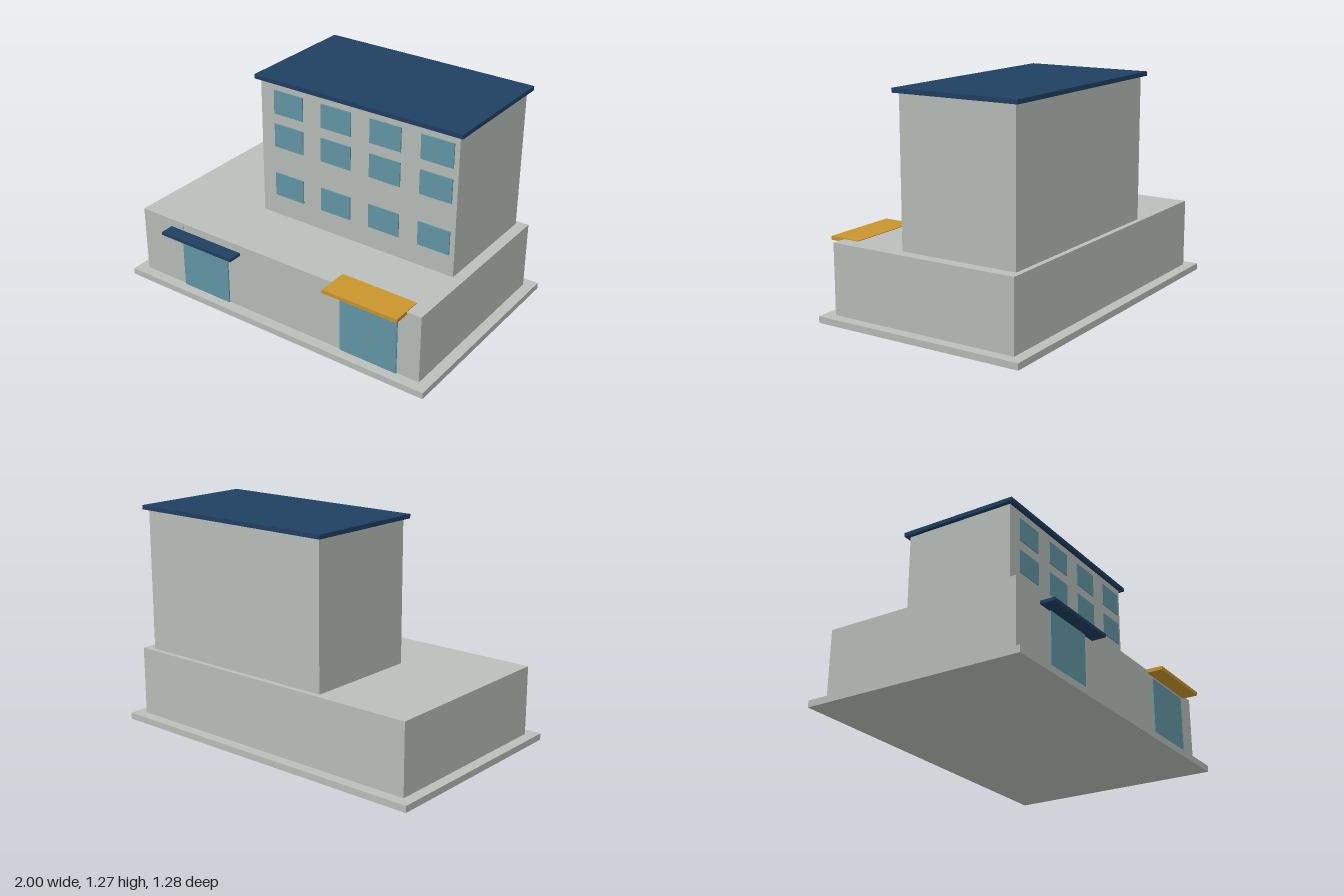
import * as THREE from 'three';

const material = (name, color) => {
  const m = new THREE.MeshStandardMaterial({ color });
  m.name = name;
  return m;
};

export function createModel() {
  const concrete = material('concrete', 0xbabfbb);
  const glass = material('glass', 0x6397a6);
  const navy = material('navy', 0x203f62);
  const amber = material('amber', 0xca962c);

  const model = new THREE.Group();
  model.name = 'building';

  // Box given by its extents along each axis
  const block = (name, mat, [x0, x1], [y0, y1], [z0, z1], parent = model) => {
    const mesh = new THREE.Mesh(new THREE.BoxGeometry(x1 - x0, y1 - y0, z1 - z0), mat);
    mesh.position.set((x0 + x1) / 2, (y0 + y1) / 2, (z0 + z1) / 2);
    mesh.name = name;
    parent.add(mesh);
  };

  // Main masses
  block('basePlate', concrete, [-1, 1], [0, 0.037], [-0.64, 0.612]);
  block('podium', concrete, [-0.938, 0.938], [0.037, 0.433], [-0.577, 0.549]);
  block('tower', concrete, [-0.374, 0.874], [0.433, 1.243], [-0.547, 0.142]);
  block('roof', navy, [-0.4, 0.9], [1.243, 1.267], [-0.573, 0.168]);

  // Tower windows: three rows of four
  const windows = new THREE.Group();
  windows.name = 'windows';
  model.add(windows);
  for (const y of [0.628, 0.929, 1.128]) {
    for (const x of [-0.187, 0.126, 0.438, 0.749]) {
      block('window', glass, [x - 0.096, x + 0.096], [y - 0.069, y + 0.069], [0.14, 0.149], windows);
    }
  }

  // Entrances and their canopies
  block('leftDoor', glass, [-0.64, -0.312], [0.037, 0.376], [0.548, 0.557]);
  block('leftDoorJamb', glass, [-0.641, -0.637], [0.376, 0.414], [0.547, 0.551]);
  block('leftCanopy', navy, [-0.727, -0.226], [0.369, 0.387], [0.54, 0.631]);
  block('rightDoor', glass, [0.449, 0.802], [0.037, 0.399], [0.548, 0.557]);
  block('rightCanopy', amber, [0.396, 0.852], [0.416, 0.437], [0.455, 0.64]);

  return model;
}
